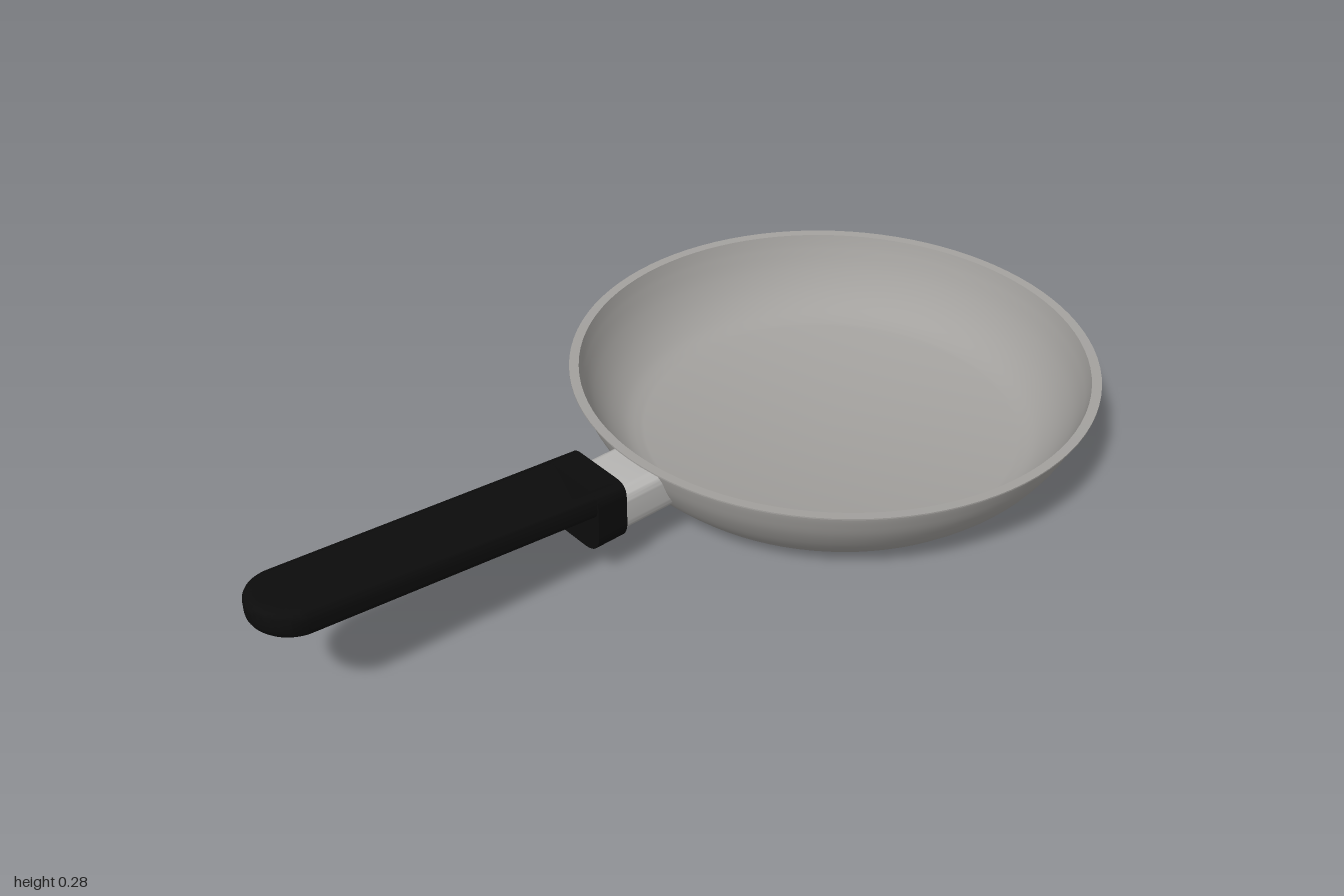
import * as THREE from 'three';
import { toCreasedNormals } from 'three/addons/utils/BufferGeometryUtils.js';

const PAN_X = 0.425;
const V = (x, y) => new THREE.Vector2(x, y);
const curve = (pts, n) => new THREE.SplineCurve(pts.map(p => V(...p))).getPoints(n);

// Moves every vertex of a geometry by a rule
function deform(geo, rule) {
  const p = geo.attributes.position, v = new THREE.Vector3();
  for (let i = 0; i < p.count; i++) {
    v.fromBufferAttribute(p, i);
    rule(v);
    p.setXYZ(i, v.x, v.y, v.z);
  }
  return geo;
}

// Rounded section in z and y, extruded along x
function bar(halfWidth, y0, y1, rTop, rBottom, x0, x1) {
  const w = halfWidth, s = new THREE.Shape();
  s.moveTo(-w + rBottom, y0);
  s.lineTo(w - rBottom, y0);
  s.quadraticCurveTo(w, y0, w, y0 + rBottom);
  s.lineTo(w, y1 - rTop);
  s.quadraticCurveTo(w, y1, w - rTop, y1);
  s.lineTo(-w + rTop, y1);
  s.quadraticCurveTo(-w, y1, -w, y1 - rTop);
  s.lineTo(-w, y0 + rBottom);
  s.quadraticCurveTo(-w, y0, -w + rBottom, y0);
  const geo = new THREE.ExtrudeGeometry(s, { depth: x1 - x0, bevelEnabled: false, curveSegments: 10 });
  return geo.rotateY(Math.PI / 2).translate(x0, 0, 0);
}

export function createModel() {
  const pan = new THREE.MeshStandardMaterial({ color: 0xa3a19e });
  const steel = new THREE.MeshStandardMaterial({ color: 0xb9b8b6 });
  const black = new THREE.MeshStandardMaterial({ color: 0x0c0c0c });
  pan.name = 'pan grey';
  steel.name = 'bright steel';
  black.name = 'handle black';

  const model = new THREE.Group();
  model.name = 'fryingPan';
  const add = (name, geo, mat) => {
    const mesh = new THREE.Mesh(geo, mat);
    mesh.name = name;
    model.add(mesh);
    return mesh;
  };

  // Pan: base, outer wall, flared lip, inner wall and floor in one profile
  const profile = [
    V(0, 0), V(0.43, 0),
    ...curve([[0.46, 0.02], [0.505, 0.065], [0.54, 0.12], [0.557, 0.165], [0.562, 0.186]], 14),
    V(0.575, 0.19), V(0.575, 0.193), V(0.554, 0.192),
    ...curve([[0.548, 0.17], [0.527, 0.12], [0.495, 0.072], [0.455, 0.036], [0.415, 0.02]], 14),
    V(0, 0.02),
  ];
  const body = toCreasedNormals(new THREE.LatheGeometry(profile, 96), 0.4);
  add('panBody', body.translate(PAN_X, 0, 0), pan);

  // Connector whose inner end follows the pan wall
  const neck = deform(bar(0.075, 0.083, 0.18, 0.03, 0.03, -0.24, -0.1), v => {
    if (v.x < -0.2) return;
    const r = 0.508 + 0.5 * (v.y - 0.083);
    v.x = PAN_X - Math.sqrt(r * r - v.z * v.z);
  });
  add('connector', toCreasedNormals(neck, 0.6), steel);

  // Rivets on the inner wall
  for (const side of [-1, 1]) {
    const rivet = add(side < 0 ? 'rightRivet' : 'leftRivet', new THREE.SphereGeometry(0.022, 20, 12), steel);
    rivet.scale.x = 0.6;
    rivet.position.set(-0.107, 0.133, side * 0.05);
    rivet.rotation.z = -0.35;
  }

  // Grip: round-ended plan, bevelled, sloping up and away from the pan
  const plan = new THREE.Shape();
  plan.moveTo(-0.228, 0.08);
  plan.lineTo(-0.92, 0.08);
  plan.absarc(-0.92, 0, 0.08, Math.PI / 2, Math.PI * 1.5, false);
  plan.lineTo(-0.228, -0.08);
  plan.closePath();
  const bevel = 0.02;
  const grip = new THREE.ExtrudeGeometry(plan, {
    depth: 0.06 - 2 * bevel, bevelSize: bevel, bevelOffset: -bevel,
    bevelThickness: bevel, bevelSegments: 5, curveSegments: 32,
  });
  grip.rotateX(-Math.PI / 2).translate(0, bevel, 0);
  deform(grip, v => {
    const t = (v.x + 1) / 0.77;
    v.y += 0.224 - 0.072 * t;
    v.z *= 1 + 0.05 * t;
  });
  add('grip', toCreasedNormals(grip, 0.6), black);

  // Collar at the front of the grip, reaching down around the connector
  const collar = deform(bar(0.087, 0.072, 0.212, 0.03, 0.05, -0.298, -0.227), v => {
    if (v.y > 0.15) v.y -= 0.093 * (v.x + 0.227);
  });
  add('collar', toCreasedNormals(collar, 0.6), black);

  return model;
}
